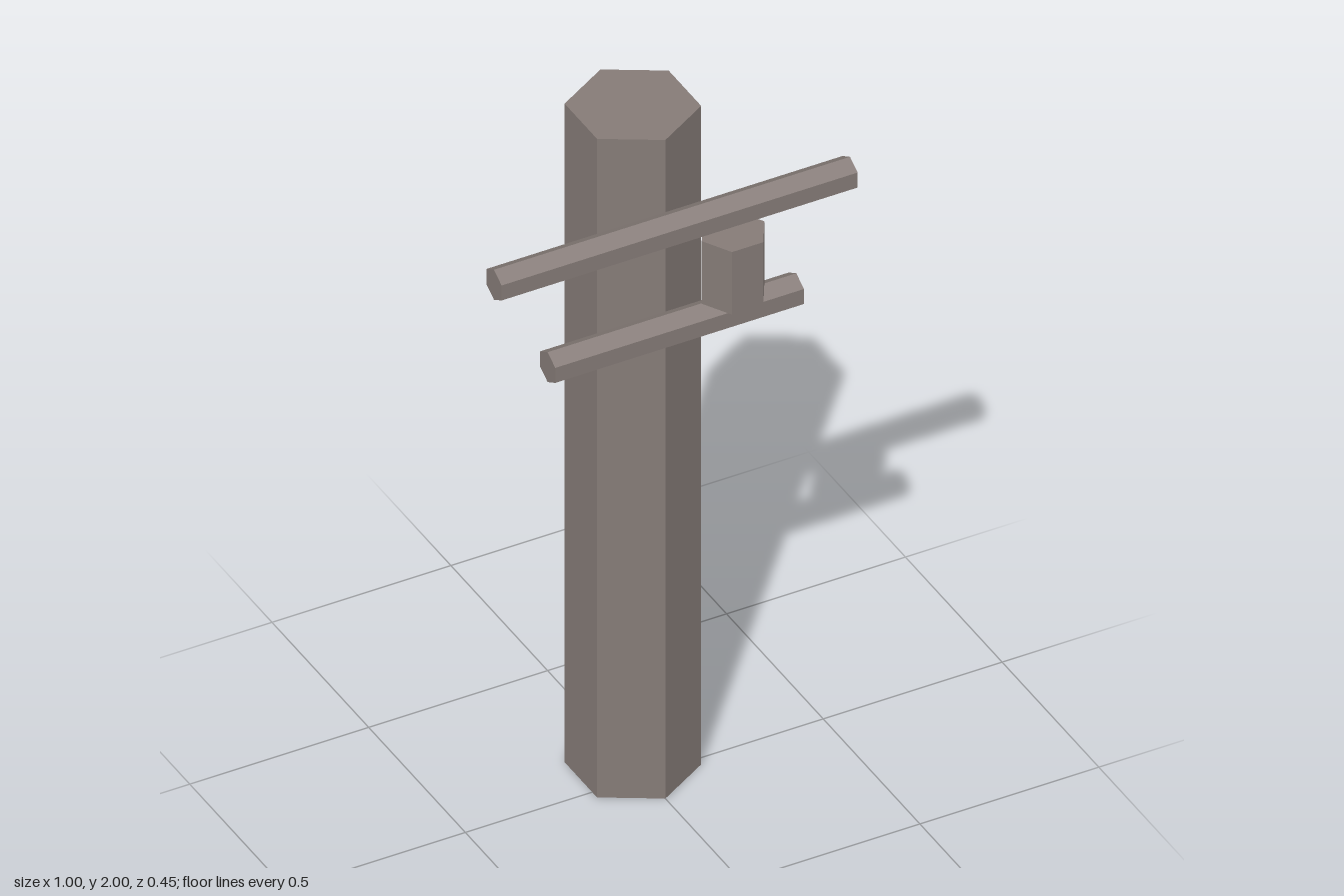
import * as THREE from 'three';

export function createModel() {
  const group = new THREE.Group();
  group.name = 'utilityPole';
  const wood = new THREE.MeshStandardMaterial({ color: 0x857b77, flatShading: true, side: THREE.DoubleSide });
  wood.name = 'greyBrown';

  function add(name, geometry, x, y, z) {
    const mesh = new THREE.Mesh(geometry, wood);
    mesh.name = name;
    mesh.position.set(x, y, z);
    group.add(mesh);
    return mesh;
  }

  // Solid six-sided prism with corners on the x axis
  const hexPrism = (radius, length) =>
    new THREE.CylinderGeometry(radius, radius, length, 6).rotateY(Math.PI / 6);

  // Pole: hollow underneath, closed on top
  const radius = 0.168, poleZ = -0.059;
  add('pole', new THREE.CylinderGeometry(radius, radius, 2, 6, 1, true), 0, 1, poleZ);
  add('poleTop', new THREE.CircleGeometry(radius, 6).rotateX(-Math.PI / 2).rotateY(Math.PI / 6), 0, 2, poleZ);

  // Crossarms in front of the pole
  for (const [name, length, y] of [['upperCrossarm', 0.995, 1.757], ['lowerCrossarm', 0.695, 1.455]]) {
    add(name, hexPrism(0.0455, length).rotateZ(Math.PI / 2), -0.002, y, 0.147);
  }

  // Transformer standing on the lower crossarm
  add('transformer', hexPrism(0.0875, 0.19), 0.168, 1.595, 0.148);

  return group;
}
